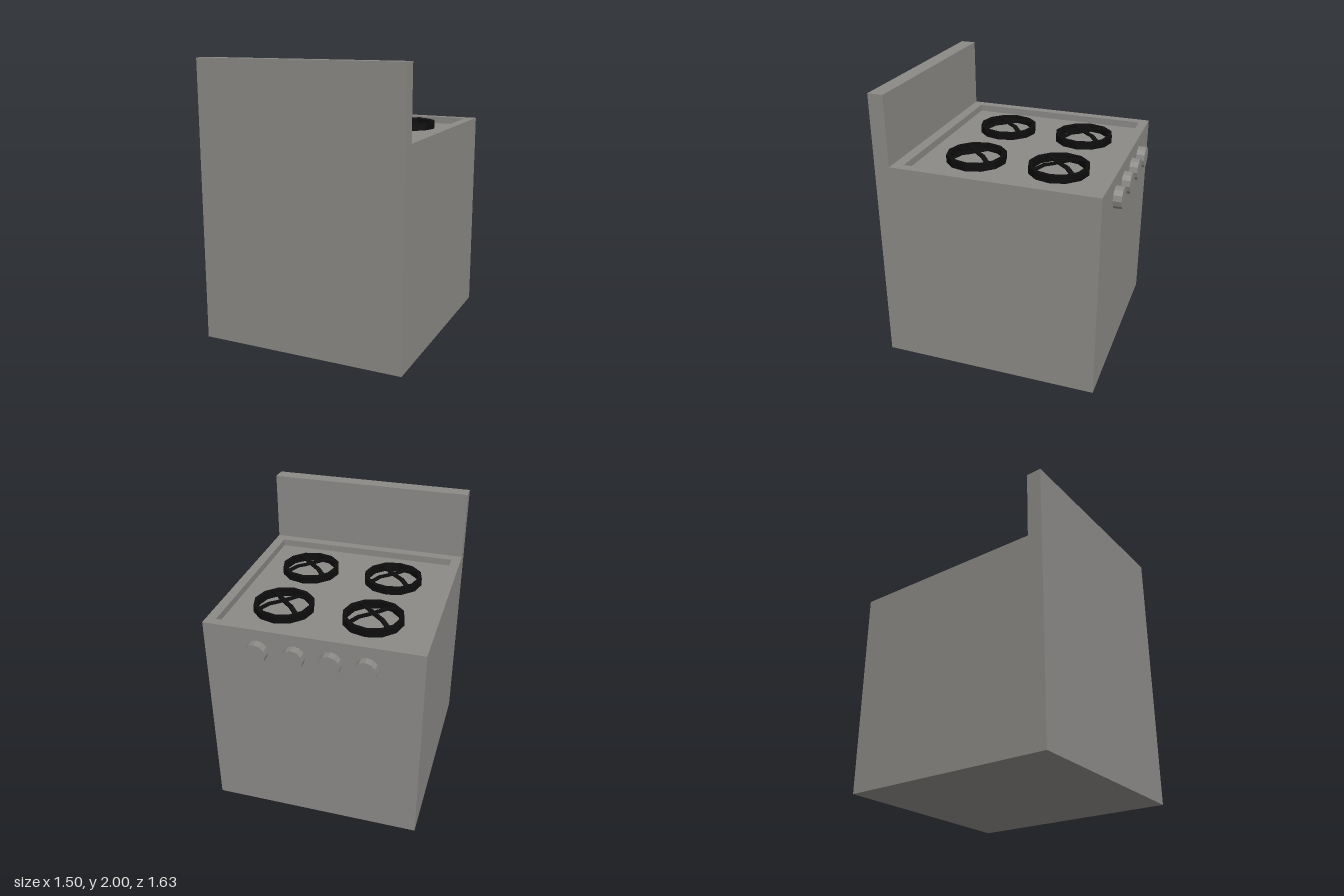
import * as THREE from 'three';

export function createModel() {
  const stove = new THREE.Group();
  stove.name = 'stove';

  const enamel = new THREE.MeshStandardMaterial({ color: 0x8c8a87, flatShading: true });
  enamel.name = 'grey enamel';
  const iron = new THREE.MeshStandardMaterial({ color: 0x0d0d0d, flatShading: true, side: THREE.DoubleSide });
  iron.name = 'black iron';

  const add = (parent, name, geometry, material, x = 0, y = 0, z = 0) => {
    const mesh = new THREE.Mesh(geometry, material);
    mesh.name = name;
    mesh.position.set(x, y, z);
    parent.add(mesh);
    return mesh;
  };

  const W = 0.75, BACK = -0.755, FRONT = 0.815, TOP = 1.5, FLOOR = 1.45;

  // Oven body up to the sunken cooktop
  add(stove, 'body', new THREE.BoxGeometry(W * 2, FLOOR, FRONT - BACK), enamel, 0, FLOOR / 2, (FRONT + BACK) / 2);

  // Raised rim round the cooktop: shape y becomes -z
  const rectangle = (path, x, z0, z1) => path.moveTo(-x, -z1).lineTo(x, -z1).lineTo(x, -z0).lineTo(-x, -z0).closePath();
  const rim = new THREE.Shape();
  rectangle(rim, W, BACK, FRONT);
  const well = new THREE.Path();
  rectangle(well, 0.68, -0.69, 0.63);
  rim.holes.push(well);
  const rimGeometry = new THREE.ExtrudeGeometry(rim, { depth: TOP - FLOOR, bevelEnabled: false });
  rimGeometry.rotateX(-Math.PI / 2);
  add(stove, 'cooktopRim', rimGeometry, enamel, 0, FLOOR, 0);

  // Upright splash panel
  add(stove, 'splashPanel', new THREE.BoxGeometry(W * 2, 0.5, 0.11), enamel, 0, 1.75, FRONT - 0.055);

  // Control knobs
  const knobGeometry = new THREE.CylinderGeometry(0.077, 0.077, 0.06, 12);
  knobGeometry.rotateX(Math.PI / 2);
  for (const x of [-0.373, -0.132, 0.117, 0.372]) add(stove, 'knob', knobGeometry, enamel, x, 1.345, BACK - 0.03);

  // Burner ring: open twelve-sided collar
  const ringProfile = [[0.182, 0], [0.213, 0], [0.213, 0.053], [0.182, 0.053], [0.182, 0]];
  const ringGeometry = new THREE.LatheGeometry(ringProfile.map(([r, y]) => new THREE.Vector2(r, y)), 12);

  // Bent grate bar, drawn from the side and given a width
  const half = [[0.205, 0.046], [0.113, 0.072], [0.05, 0.069]];
  const upper = [...half.map(([x, y]) => [-x, y]), ...half.slice().reverse()];
  const lower = upper.map(([x, y]) => [x, y - 0.01]).reverse();
  const bar = new THREE.Shape([...upper, ...lower].map(([x, y]) => new THREE.Vector2(x, y)));
  const barGeometry = new THREE.ExtrudeGeometry(bar, { depth: 0.034, bevelEnabled: false });
  barGeometry.translate(0, 0, -0.017);

  for (const x of [-0.31, 0.325]) {
    for (const z of [-0.35, 0.25]) {
      const burner = new THREE.Group();
      burner.name = 'burner';
      burner.position.set(x, FLOOR, z);
      add(burner, 'burnerRing', ringGeometry, iron);
      for (const side of [-1, 1]) add(burner, 'grateBar', barGeometry, iron).rotation.y = side * Math.PI / 4;
      stove.add(burner);
    }
  }
  return stove;
}
